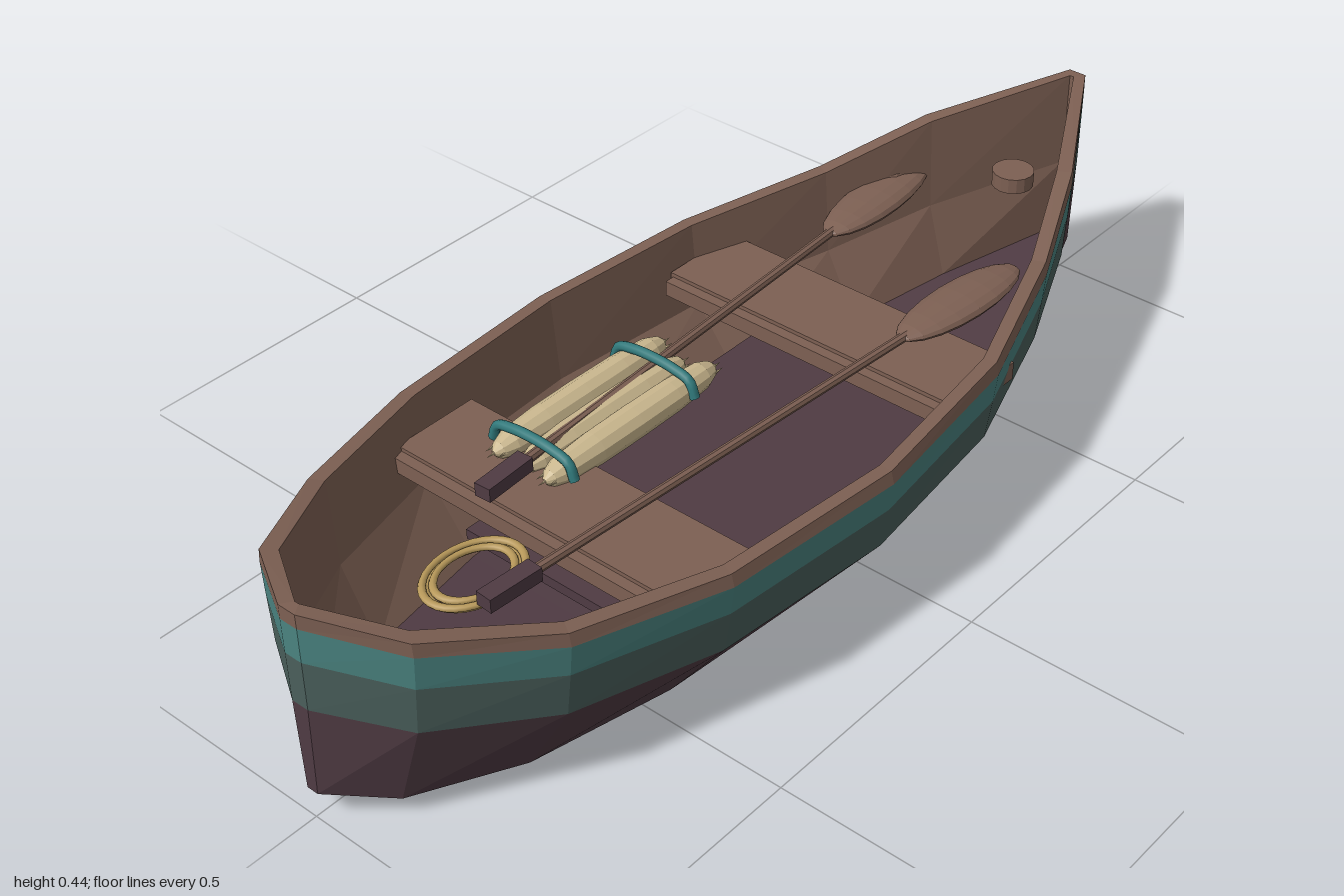
import * as THREE from 'three';

const mat = (name, color, flatShading = true) => {
  const m = new THREE.MeshStandardMaterial({ color, flatShading });
  m.name = name;
  return m;
};

// hull stations: z, half width, sheer height, keel height
const stations = [
  [1, 0.018, 0.415, 0.055], [0.915, 0.165, 0.385, 0.04], [0.72, 0.285, 0.34, 0.016],
  [0.45, 0.365, 0.32, 0.006], [0.09, 0.393, 0.315, 0.0], [-0.25, 0.355, 0.325, 0.006],
  [-0.53, 0.26, 0.347, 0.02], [-0.74, 0.168, 0.4, 0.043], [-1, 0.018, 0.44, 0.07],
];

// closed loop round the boat at relative height t; width scaled by k and inset
function ring(t, k, inset = 0) {
  const side = stations.map(([z, w, top, keel]) => [
    k === 0 ? 0 : Math.max(w * k - inset, 0.004),
    keel + (top - keel) * t,
    inset ? z * 0.98 : z,
  ]);
  return [...side, ...side.map(([x, y, z]) => [-x, y, z]).reverse()];
}

// strip of quads joining two loops
function band(a, b) {
  const p = [];
  for (let i = 0; i < a.length; i++) {
    const j = (i + 1) % a.length;
    p.push(...a[i], ...a[j], ...b[j], ...a[i], ...b[j], ...b[i]);
  }
  const g = new THREE.BufferGeometry();
  g.setAttribute('position', new THREE.Float32BufferAttribute(p, 3));
  g.computeVertexNormals();
  return g;
}

export function createModel() {
  const boat = new THREE.Group();
  boat.name = 'rowingBoat';
  const wood = mat('brown wood', 0x7d6053);
  const dark = mat('dark plum wood', 0x4f3b43);
  const teal = mat('teal paint', 0x4a8380);
  const grey = mat('grey green paint', 0x4a5f5b);
  const cream = mat('cream canvas', 0xcbb88f);
  const rope = mat('straw rope', 0xb8995a, false);
  const strapTeal = mat('strap teal', 0x317a7c, false);

  const add = (name, geo, material, x = 0, y = 0, z = 0, parent = boat) => {
    const m = new THREE.Mesh(geo, material);
    m.name = name;
    m.position.set(x, y, z);
    parent.add(m);
    return m;
  };
  const box = (w, h, d) => new THREE.BoxGeometry(w, h, d);

  // hull shell, from the keel up and over the rail
  const bottom = ring(0, 0.63), chine = ring(0.487, 0.945), stripe = ring(0.745, 0.98);
  const railLow = ring(0.925, 1), railTop = ring(1, 0.985);
  const inTop = ring(1, 0.985, 0.024), inMid = ring(0.487, 0.945, 0.024), inFloor = ring(0.09, 0.645, 0.012);
  add('hullBottom', band(ring(0, 0), bottom), dark);
  add('lowerPlanking', band(bottom, chine), dark);
  add('middlePlanking', band(chine, stripe), grey);
  add('upperPlanking', band(stripe, railLow), teal);
  add('railSide', band(railLow, railTop), wood);
  add('railTop', band(railTop, inTop), wood);
  add('innerUpperWall', band(inTop, inMid), wood);
  add('innerLowerWall', band(inMid, inFloor), wood);
  add('innerFloor', band(inFloor, ring(0.09, 0, 0.012)), dark);
  add('floorBoards', box(0.43, 0.02, 0.97), dark, 0, 0.1, -0.025);

  // benches with a lower lip on the front edge
  for (const [name, z, w] of [['frontBench', 0.415, 0.64], ['rearBench', -0.265, 0.64]]) {
    add(name, box(w, 0.035, 0.17), wood, 0, 0.24, z);
    add(name + 'Lip', box(w - 0.01, 0.03, 0.02), wood, 0, 0.235, z + 0.095);
  }

  // round stump near the stern and a small fender through the side
  add('sternPost', new THREE.CylinderGeometry(0.04, 0.04, 0.03, 16), wood, 0, 0.3, -0.8);
  add('sideFender', new THREE.SphereGeometry(1, 10, 8), wood, -0.19, 0.3, -0.69).scale.set(0.032, 0.014, 0.065);

  // oars: shaft along local z, blade at -z and grip at +z
  function oar(name, bladeX, bladeZ, gripX, gripZ, y) {
    const g = new THREE.Group();
    g.name = name;
    const dx = gripX - bladeX, dz = gripZ - bladeZ, len = Math.hypot(dx, dz);
    g.position.set(bladeX, y, bladeZ);
    g.rotation.y = Math.atan2(dx, dz);
    add('blade', new THREE.SphereGeometry(1, 14, 10).rotateX(Math.PI / 2), wood, 0, 0, 0, g).scale.set(0.052, 0.02, 0.16);
    add('shaft', new THREE.CylinderGeometry(0.009, 0.009, len, 8).rotateX(Math.PI / 2), wood, 0, 0, len / 2, g);
    add('grip', box(0.032, 0.026, 0.105), dark, 0, 0, len, g);
    boat.add(g);
  }
  oar('rightOar', -0.165, -0.59, -0.102, 0.47, 0.285);
  oar('leftOar', 0.165, -0.4, 0.098, 0.66, 0.29);

  // three canvas rolls with ragged tapering ends
  const profile = [[0.004, -1], [0.016, -0.94], [0.025, -0.82], [0.03, -0.45], [0.031, 0], [0.03, 0.45], [0.025, 0.82], [0.016, 0.94], [0.004, 1]];
  [[-0.172, 0.215, 0.21, 0.27], [-0.115, 0.22, 0.2, 0.262], [-0.057, 0.215, 0.21, 0.27]].forEach(([x, z, half, y], n) => {
    const geo = new THREE.LatheGeometry(profile.map(([r, t]) => new THREE.Vector2(r, t * half)), 11);
    geo.rotateY(n * 0.4).rotateX(Math.PI / 2);
    add('canvasRoll', geo, cream, x, y, z);
    for (const s of [-1, 1]) for (const k of [-1, 0, 1]) {
      const tuft = new THREE.ConeGeometry(0.009, 0.06, 5).rotateX(s * Math.PI / 2);
      add('canvasTuft', tuft, cream, x + k * 0.014, y, z + s * (half - 0.01 * Math.abs(k) - 0.015));
    }
  });

  // straps arched over the rolls
  for (const z of [0.095, 0.39]) {
    const path = new THREE.CatmullRomCurve3([[-0.207, 0.268], [-0.195, 0.297], [-0.16, 0.307], [-0.115, 0.31], [-0.07, 0.307], [-0.035, 0.297], [-0.023, 0.268]]
      .map(([x, y]) => new THREE.Vector3(x, y, z)));
    add('rollStrap', new THREE.TubeGeometry(path, 24, 0.009, 8), strapTeal);
  }

  // oval rope coil
  for (const [r, y] of [[0.052, 0.272], [0.06, 0.264], [0.066, 0.272]]) {
    const loop = new THREE.TorusGeometry(r, 0.0055, 8, 32).rotateX(Math.PI / 2);
    add('ropeCoil', loop, rope, 0.02, y, 0.66).scale.z = 1.38;
  }

  return boat;
}
